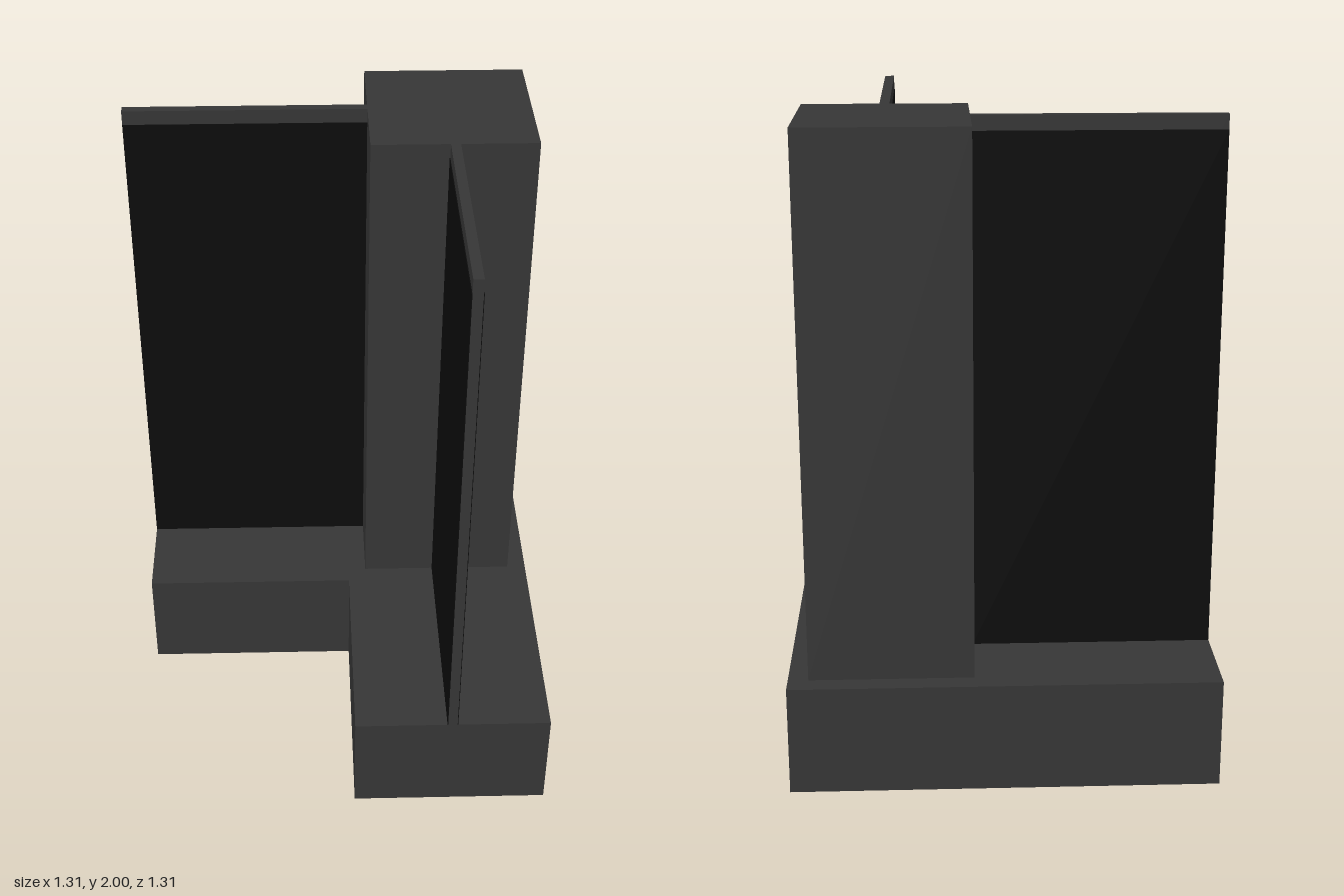
import * as THREE from 'three';

export function createModel() {
  const group = new THREE.Group();
  const frameGrey = new THREE.MeshStandardMaterial({ color: 0x363636 });
  frameGrey.name = 'frameGrey';
  const panelBlack = new THREE.MeshStandardMaterial({ color: 0x0c0c0c });
  panelBlack.name = 'panelBlack';

  // Box given by its extents on each axis
  function box(name, [x0, x1], [y0, y1], [z0, z1], material) {
    const mesh = new THREE.Mesh(new THREE.BoxGeometry(x1 - x0, y1 - y0, z1 - z0), material);
    mesh.position.set((x0 + x1) / 2, (y0 + y1) / 2, (z0 + z1) / 2);
    mesh.name = name;
    group.add(mesh);
  }

  const E = 0.655;       // half width of the footprint
  const I = 0.033;       // inner corner of the L
  const baseTop = 0.343;
  const screenTop = 1.955;

  // L-shaped plinth, drawn in plan and extruded upwards
  const plan = new THREE.Shape([
    [-E, E], [-E, I], [I, I], [I, -E], [E, -E], [E, E],
  ].map(([x, y]) => new THREE.Vector2(x, y)));
  const base = new THREE.Mesh(
    new THREE.ExtrudeGeometry(plan, { depth: baseTop, bevelEnabled: false }).rotateX(-Math.PI / 2),
    frameGrey,
  );
  base.name = 'base';
  group.add(base);

  // Square corner pillar
  box('pillar', [0.092, 0.593], [baseTop, 2], [-0.593, -0.092], frameGrey);

  // Thin upright panels with a black sheet on each broad face
  const y = [baseTop, 2];
  const sheetY = [baseTop, screenTop];
  const t = 0.002;
  const lo = 0.328, hi = 0.358;
  box('sidePanel', [-E, 0.092], y, [-hi, -lo], frameGrey);
  box('frontPanel', [lo, hi], y, [-0.092, E], frameGrey);
  for (const [a, b] of [[lo - t, lo], [hi, hi + t]]) {
    box('sidePanelSheet', [-E, 0.092], sheetY, [-b, -a], panelBlack);
    box('frontPanelSheet', [a, b], sheetY, [-0.092, E], panelBlack);
  }

  return group;
}
